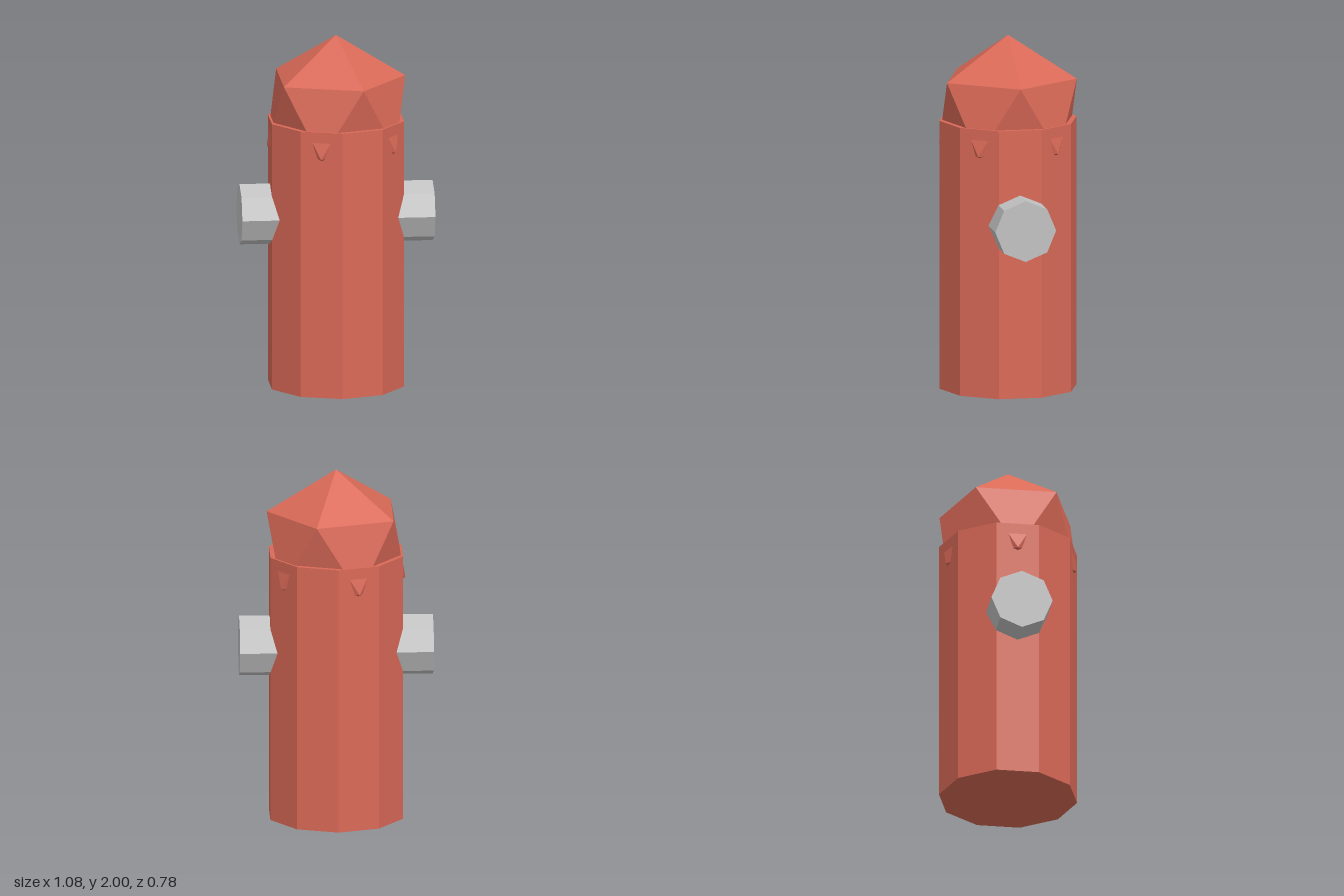
import * as THREE from 'three';

export function createModel() {
  const model = new THREE.Group();
  model.name = 'fireHydrant';

  const red = new THREE.MeshStandardMaterial({ color: 0xd96957, flatShading: true });
  red.name = 'hydrant red';
  const grey = new THREE.MeshStandardMaterial({ color: 0xc1c1c1, flatShading: true });
  grey.name = 'outlet grey';

  const add = (name, geometry, material, y) => {
    const mesh = new THREE.Mesh(geometry, material);
    mesh.name = name;
    mesh.position.y = y;
    model.add(mesh);
  };

  // ten-sided barrel, with one edge facing the front
  const bodyHeight = 1.524;
  add('body', new THREE.CylinderGeometry(0.39, 0.39, bodyHeight, 10), red, bodyHeight / 2);

  // faceted cap standing on a corner; its lower corners poke through the barrel
  const capRadius = 0.434;
  const cap = new THREE.IcosahedronGeometry(capRadius, 0);
  cap.rotateZ(-Math.atan(2 / (1 + Math.sqrt(5))));
  add('cap', cap, red, 2 - capRadius);

  // octagonal outlet pipe running through the barrel from side to side
  const pipe = new THREE.CylinderGeometry(0.173, 0.173, 1.084, 8);
  pipe.rotateZ(Math.PI / 2);
  add('outletPipe', pipe, grey, 0.982);

  return model;
}
